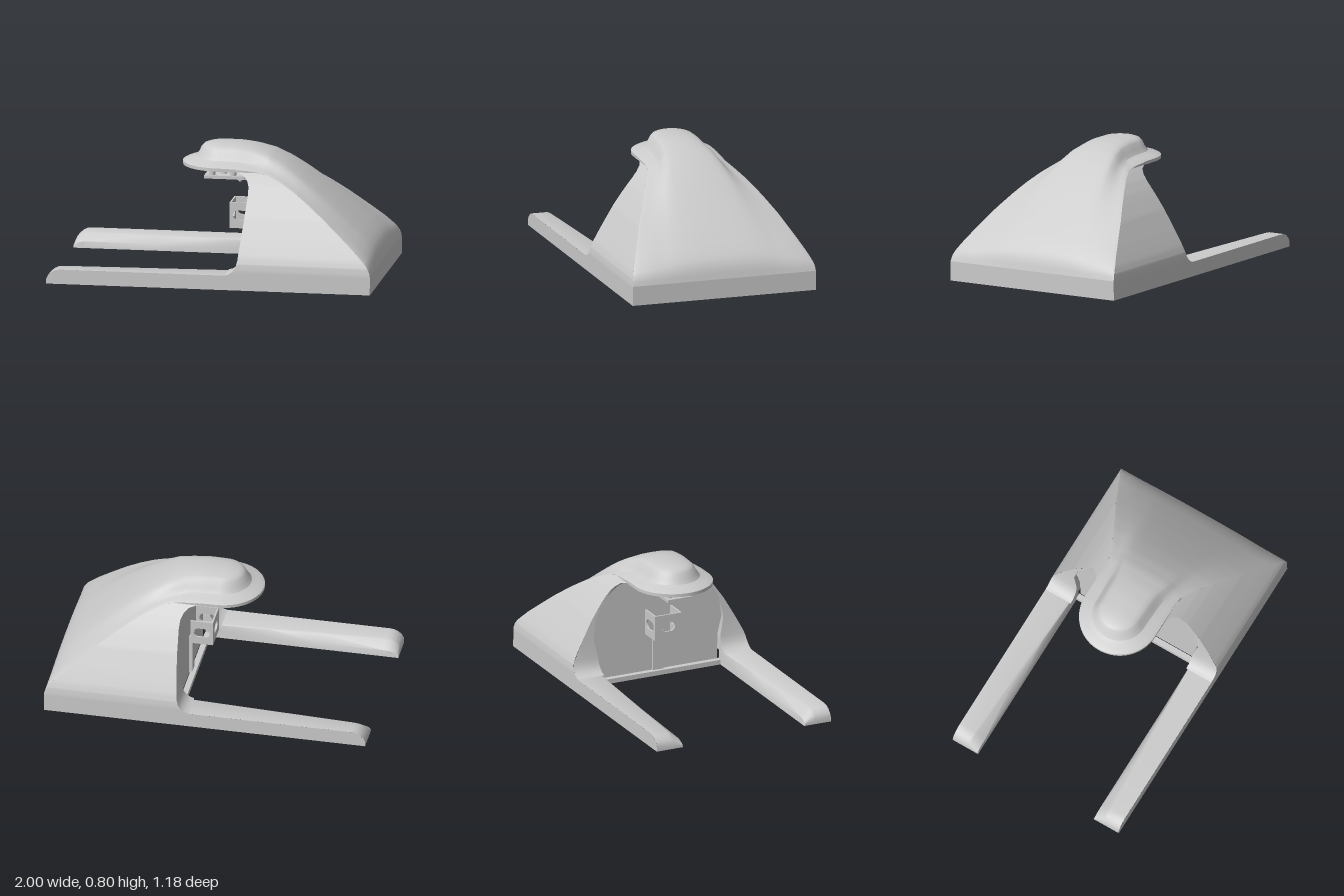
import * as THREE from 'three';
import { toCreasedNormals } from 'three/addons/utils/BufferGeometryUtils.js';

const mat = new THREE.MeshStandardMaterial({ color: 0xcccccc, side: THREE.DoubleSide });

// piecewise linear lookup in [key, value] pairs
function look(table, k) {
  if (k <= table[0][0]) return table[0][1];
  for (let i = 1; i < table.length; i++) {
    const [a, va] = table[i - 1], [b, vb] = table[i];
    if (k <= b) return b === a ? vb : va + (vb - va) * (k - a) / (b - a);
  }
  return table[table.length - 1][1];
}

// surface through rows of points
function surface(rows, crease = 0.6) {
  const n = rows[0].length, index = [];
  for (let i = 0; i < rows.length - 1; i++) {
    for (let j = 0; j < n - 1; j++) {
      const a = i * n + j, b = a + n;
      index.push(a, a + 1, b, a + 1, b + 1, b);
    }
  }
  const g = new THREE.BufferGeometry();
  g.setAttribute('position', new THREE.Float32BufferAttribute(rows.flat(2), 3));
  g.setIndex(index);
  return toCreasedNormals(g, crease);
}

// half width of the flanks by height
const side = [[0, .59], [.12, .589], [.16, .583], [.2, .568], [.25, .542], [.3, .515], [.42, .447],
  [.5, .392], [.55, .355], [.6, .312], [.64, .272], [.66, .25], [.68, .25]];
// shoulder ridge height along x
const ridge = [[0, .68], [.1, .678], [.2, .67], [.3, .655], [.4, .615], [.5, .56], [.6, .493], [.7, .417],
  [.8, .335], [.9, .25], [.97, .18], [.99, .15], [1, .12]];
const ridgeX = ridge.map(([x, y]) => [y, x]).reverse();
// crown centre height along x
const top = [[0, .8], [.1, .799], [.2, .786], [.3, .757], [.4, .705], [.5, .637], [.6, .56], [.7, .478],
  [.8, .392], [.9, .302], [.96, .238], [.985, .19], [1, .12]];
const crownHalf = [[0, .13], [.2, .137], [.4, .18], [.6, .23], [.8, .28], [1, .32]];
const grooveHalf = [[0, .17], [.2, .177], [.3, .2], [.4, .235], [.6, .335], [.8, .445], [.95, .54], [1, .57]];
// front edge of the body by height: [y, x]
const lower = [[0, -1], [.03, -1], [.055, -.988], [.075, -.965], [.087, -.94], [.09, -.91]];
const upper = [[.09, .1], [.097, .125], [.115, .15], [.14, .167], [.18, .178], [.3, .19], [.42, .2], [.55, .208],
  [.59, .205], [.62, .192], [.645, .165], [.66, .12]];
const innerHalf = [[.09, .41], [.2, .415], [.3, .44], [.42, .42], [.5, .37], [.55, .333], [.6, .29], [.66, .23]];

// half profile from spine to rim at station x
function profile(x) {
  const yc = look(top, x), yr = look(ridge, x), zr = look(side, yr);
  const zt = look(crownHalf, x), zg = look(grooveHalf, x);
  const yt = yc - Math.min(.025 - .012 * x, (yc - yr) * .3);
  const yg = yr + .3 * (yt - yr);
  return [[0, yc], [zt * .4, yc - (yc - yt) * .1], [zt * .75, yc - (yc - yt) * .4], [zt * .93, yc - (yc - yt) * .75],
    [zt + (zg - zt) * .12, yt - (yt - yg) * .12], [zt + (zg - zt) * .5, yt - (yt - yg) * .6],
    [zg, yg], [zg + (zr - zg) * .4, yr + (yg - yr) * .55], [zg + (zr - zg) * .8, yr + (yg - yr) * .3],
    [zr, yr], [zr, yr - (x <= .1 ? .02 : 0)]];
}

// crown: fanned round the nose, then lofted down the back
function crown() {
  const rows = [];
  const station = (half, place) => rows.push([
    ...half.slice(1).reverse().map(p => place(p, -1)), ...half.map(p => place(p, 1))]);
  for (let i = 0; i < 20; i++) {
    const a = i / 20 * Math.PI / 2;
    station(profile(0), ([r, y], s) => [-r * Math.cos(a), y, s * r * Math.sin(a)]);
  }
  for (let i = 0; i <= 36; i++) {
    const x = i < 32 ? i * .03 : [.96, .972, .985, .993, 1][i - 32];
    station(profile(x), ([z, y], s) => [x, y, s * z]);
  }
  return surface(rows, .5);
}

// flank and leg outer wall for one side
function flank(s) {
  const line = [...lower, ...upper, [.66, 0], [.68, 0]], rows = [];
  for (let i = 0; i < line.length - 1; i++) {
    const steps = line[i + 1][0] - line[i][0] > .03 ? 8 : 2;
    for (let k = 0; k < steps; k++) {
      const t = k / steps;
      const y = line[i][0] + (line[i + 1][0] - line[i][0]) * t;
      const x = line[i][1] + (line[i + 1][1] - line[i][1]) * t;
      const z = s * look(side, y);
      rows.push([[x, y, z], [Math.max(x, look(ridgeX, y)), y, z]]);
    }
  }
  rows.push([[0, .68, s * .25], [0, .68, s * .25]]);
  return surface(rows);
}

// leg top and inner slope, open below
function leg(s) {
  const ends = [[0, -1], ...lower.slice(1), [.09, -.5], [.09, -.2], [.09, .1], [.09, .2]];
  return surface(ends.map(([h, x]) => {
    const zin = .415 + .06 * (.2 - x) / 1.2;
    return [[x, h, s * .589], [x, h, s * (zin + .012)], [x, h * .93, s * zin],
      [x, h * .45, s * .415], [x, 0, s * .41]];
  }));
}

// rounded lip beside the front opening
function lip(s) {
  return surface(upper.map(([y, x]) => {
    const zi = s * look(innerHalf, y);
    return [[x, y, s * look(side, y)], [x, y, zi], [.215, y, zi]];
  }));
}

// plate with a slotted hole, lying in xy
function slotPlate(w, h, t, sw, sh) {
  const shape = new THREE.Shape([[-w, -h], [w, -h], [w, h], [-w, h]].map(p => new THREE.Vector2(p[0] / 2, p[1] / 2)));
  const hole = new THREE.Path(), r = sh / 2, d = sw / 2 - r;
  hole.absarc(d, 0, r, -Math.PI / 2, Math.PI / 2, false);
  hole.absarc(-d, 0, r, Math.PI / 2, Math.PI * 1.5, false);
  shape.holes.push(hole);
  return new THREE.ExtrudeGeometry(shape, { depth: t, bevelEnabled: false, curveSegments: 12 }).translate(0, 0, -t / 2);
}

export function createModel() {
  const model = new THREE.Group();
  const add = (name, geometry, x = 0, y = 0, z = 0, parent = model) => {
    const m = new THREE.Mesh(geometry, mat);
    m.name = name;
    m.position.set(x, y, z);
    parent.add(m);
    return m;
  };
  const box = (w, h, d) => new THREE.BoxGeometry(w, h, d);
  const rod = (r, h) => new THREE.CylinderGeometry(r, r, h, 20);

  // shell
  add('crown', crown());
  for (const s of [1, -1]) {
    const n = s > 0 ? 'left' : 'right';
    add(n + 'Flank', flank(s));
    add(n + 'Leg', leg(s));
    add(n + 'Lip', lip(s));
  }
  add('rearWall', surface([0, .06, .12].map(y => [[1, y, -look(side, y)], [1, y, look(side, y)]])));

  // underside of the overhanging nose
  const under = [];
  for (let i = 0; i <= 20; i++) {
    const a = i / 20 * Math.PI / 2;
    under.push([[-.25 * Math.cos(a), .661, -.25 * Math.sin(a)], [-.25 * Math.cos(a), .661, .25 * Math.sin(a)]]);
  }
  under.push([[.2, .661, -.25], [.2, .661, .25]]);
  add('noseUnderside', surface(under));

  // panel closing the front opening, and its sill
  const heights = [0, .09, .2, .3, .36, .42, .5, .55, .6, .66];
  add('frontPanel', surface(heights.map(y => [[.215, y, -look(innerHalf, y)], [.215, y, look(innerHalf, y)]])));
  add('sill', box(.035, .03, .82), .185, .015, 0);

  // slotted bracket on its post
  const bracket = new THREE.Group();
  bracket.name = 'bracket';
  model.add(bracket);
  for (const z of [-.085, .085]) add('bracketCheek', slotPlate(.14, .16, .01, .1, .06), .12, .355, z, bracket);
  add('bracketFace', slotPlate(.17, .16, .01, .09, .06).rotateY(Math.PI / 2), .055, .355, 0, bracket);
  add('bracketPost', box(.02, .26, .07), .2, .15, 0, bracket);

  // mounting plate hung on studs under the nose
  const mount = new THREE.Group();
  mount.name = 'mount';
  model.add(mount);
  add('mountPlate', box(.25, .02, .16), .015, .586, 0, mount);
  for (const x of [-.065, .065]) {
    for (const z of [-.05, .05]) {
      add('stud', rod(.011, .07), x, .63, z, mount);
      add('standoff', rod(.02, .035), x, .613, z, mount);
    }
  }
  add('hub', rod(.045, .02), 0, .645, 0, mount);
  add('hubPin', rod(.02, .05), 0, .62, 0, mount);
  add('mountTab', box(.07, .01, .05), .12, .567, 0, mount);
  add('tabScrew', rod(.01, .02), .1, .56, 0, mount);
  return model;
}
